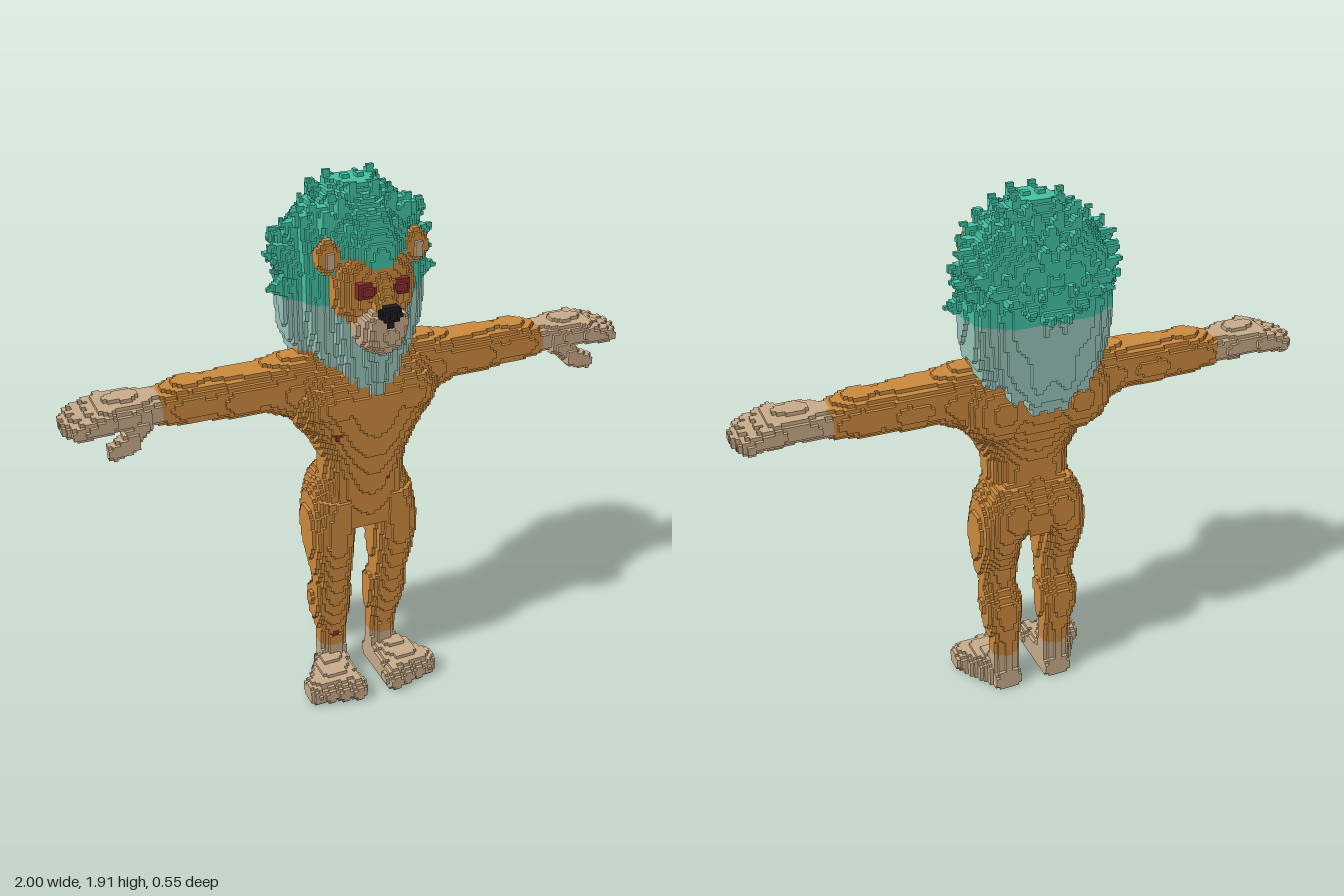
import * as THREE from 'three';

const V = 0.0125; // voxel edge
const COLORS = {
  fur: 0xcc8a3e, paw: 0xc8ab8a, mane: 0x42c2a4, beard: 0x98c4ba, darkRed: 0x8a2c2c, black: 0x1c1c20
};
const PARTS = { // part name -> colour name
  maneTop: 'mane', maneBeard: 'beard', torso: 'fur', legs: 'fur', arms: 'fur', face: 'fur', ears: 'fur',
  feet: 'paw', hands: 'paw', muzzle: 'paw', innerEars: 'paw', eyes: 'darkRed', spots: 'darkRed', nose: 'black'
};

export function createModel() {
  const cells = new Map();
  const key = (i, j, k) => ((i + 200) * 400 + (j + 200)) * 400 + k + 200;

  // Fill every voxel of a box that passes the test, mirrored left to right
  function fill(part, lo, hi, inside, mirror = true) {
    const a = lo.map(v => Math.floor(v / V)), b = hi.map(v => Math.ceil(v / V));
    a[1] = Math.max(0, a[1]);
    for (let i = a[0]; i < b[0]; i++) for (let j = a[1]; j < b[1]; j++) for (let k = a[2]; k < b[2]; k++) {
      const x = (i + 0.5) * V, y = (j + 0.5) * V, z = (k + 0.5) * V;
      if (!inside(x, y, z)) continue;
      const name = typeof part === 'function' ? part(x, y, z) : part;
      cells.set(key(i, j, k), [i, j, k, name]);
      if (mirror) cells.set(key(-1 - i, j, k), [-1 - i, j, k, name]);
    }
  }

  const ellipsoid = (part, c, r, mirror) => fill(part, c.map((v, n) => v - r[n]), c.map((v, n) => v + r[n]),
    (x, y, z) => ((x - c[0]) / r[0]) ** 2 + ((y - c[1]) / r[1]) ** 2 + ((z - c[2]) / r[2]) ** 2 <= 1, mirror);

  // Tapered capsule from p to q
  function taper(part, p, q, rp, rq) {
    const P = new THREE.Vector3(...p), D = new THREE.Vector3(...q).sub(P), W = new THREE.Vector3(), R = Math.max(rp, rq);
    fill(part, p.map((v, n) => Math.min(v, q[n]) - R), p.map((v, n) => Math.max(v, q[n]) + R), (x, y, z) => {
      W.set(x, y, z).sub(P);
      const t = THREE.MathUtils.clamp(W.dot(D) / D.lengthSq(), 0, 1);
      return W.addScaledVector(D, -t).length() <= rp + (rq - rp) * t;
    });
  }

  // Interpolate a row of values at position t
  function sample(rows, t) {
    let n = 0;
    while (n < rows.length - 2 && t > rows[n + 1][0]) n++;
    const a = rows[n], b = rows[n + 1], f = THREE.MathUtils.clamp((t - a[0]) / (b[0] - a[0]), 0, 1);
    return a.map((v, m) => v + (b[m] - v) * f);
  }

  // Rounded cross-sections along an axis; rows: [t, centre1, centre2, radius1, radius2]
  function loft(part, axis, rows, e = 2.2) {
    const [u, v] = [0, 1, 2].filter(n => n !== axis), lo = [-0.5, 0, -0.4], hi = [1, 2, 0.4];
    lo[axis] = rows[0][0];
    hi[axis] = rows[rows.length - 1][0];
    fill(part, lo, hi, (...p) => {
      const s = sample(rows, p[axis]);
      return Math.abs((p[u] - s[1]) / s[3]) ** e + Math.abs((p[v] - s[2]) / s[4]) ** e <= 1;
    });
  }

  // Mane: wedge-shaped front, rounded back, pointed lower edge; rows: [y, side, front, back]
  const maneRows = [[1.17, 0.19, 0.215, 0.14], [1.3, 0.21, 0.235, 0.17], [1.4, 0.24, 0.24, 0.175], [1.52, 0.25, 0.24, 0.18],
    [1.62, 0.245, 0.24, 0.18], [1.72, 0.225, 0.24, 0.17], [1.8, 0.18, 0.19, 0.13], [1.88, 0.07, 0.08, 0.06]];
  const maneColor = (x, y) => y > 1.52 ? 'maneTop' : 'maneBeard';
  fill(maneColor, [0, 1.17, -0.3], [0.35, 1.88, 0.25], (x, y, z) => {
    const [, side, front, back] = sample(maneRows, y), d = z + 0.05;
    if (y < 1.18 + 0.75 * Math.abs(x) + 0.02 * Math.sin(x * 90)) return false;
    const e = d > 0 ? 1.3 : 2.7, lock = 1 + 0.04 * Math.sin(Math.atan2(d, x) * 13 + y * 9);
    return (x / side) ** e + Math.abs(d / (d > 0 ? front : back)) ** e <= lock;
  });

  // Mane tufts, spread evenly over the crown and back
  for (let n = 0; n < 150; n++) {
    const h = 1 - 1.15 * (n + 0.5) / 150, a = n * 2.39996, w = Math.sqrt(1 - h * h);
    const x = Math.cos(a) * w, z = Math.sin(a) * w;
    if (x < 0 || (z > 0.12 && h < 0.62)) continue;
    const at = s => [x * 0.3 * s, 1.59 + h * 0.32 * s, -0.05 + z * (z > 0 ? 0.23 : 0.215) * s];
    const reach = 0.96 + 0.07 * Math.sin(n * 5.3);
    taper('maneTop', at(0.74), at(reach), 0.048, 0.008);
  }

  // Torso
  loft('torso', 1, [[0.7, 0, -0.01, 0.17, 0.11], [0.8, 0, -0.01, 0.185, 0.125], [0.88, 0, 0.015, 0.145, 0.11],
    [0.96, 0, 0.025, 0.15, 0.115], [1.05, 0, 0.02, 0.195, 0.135], [1.12, 0, 0.01, 0.255, 0.15],
    [1.2, 0, 0.005, 0.29, 0.16], [1.28, 0, -0.015, 0.27, 0.145], [1.35, 0, -0.02, 0.21, 0.07]]);
  ellipsoid('torso', [0.085, 0.77, -0.065], [0.09, 0.12, 0.075]);
  ellipsoid('torso', [0.12, 1.19, 0.07], [0.13, 0.09, 0.095]);
  ellipsoid('torso', [0.14, 1.2, -0.08], [0.13, 0.13, 0.08]);

  // Legs and feet
  loft((x, y) => y < 0.15 ? 'feet' : 'legs', 1, [[0.04, 0.1, -0.02, 0.055, 0.05], [0.2, 0.1, -0.025, 0.05, 0.045],
    [0.3, 0.108, -0.02, 0.07, 0.065], [0.37, 0.11, -0.015, 0.075, 0.075], [0.44, 0.11, 0.01, 0.06, 0.066],
    [0.52, 0.115, 0.015, 0.074, 0.076], [0.62, 0.12, 0.005, 0.083, 0.11], [0.7, 0.117, -0.005, 0.086, 0.12],
    [0.8, 0.1, -0.01, 0.085, 0.12]]);
  loft('feet', 2, [[-0.07, 0.1, 0.03, 0.045, 0.05], [-0.02, 0.105, 0.03, 0.06, 0.09], [0.05, 0.13, 0.03, 0.085, 0.08],
    [0.15, 0.148, 0.03, 0.1, 0.06]], 2.5);
  [0.075, 0.125, 0.175, 0.22].forEach((x, n) =>
    ellipsoid('feet', [x, 0.04, 0.15 - 0.012 * n], [0.034, 0.045, 0.055]));

  // Arms
  loft('arms', 0, [[0.18, 1.22, -0.01, 0.12, 0.1], [0.26, 1.23, -0.015, 0.105, 0.1], [0.34, 1.24, -0.015, 0.078, 0.09],
    [0.45, 1.238, -0.018, 0.075, 0.095], [0.53, 1.238, -0.02, 0.07, 0.08], [0.6, 1.243, -0.02, 0.074, 0.085],
    [0.7, 1.235, -0.02, 0.05, 0.07]]);

  // Hands, fingers and thumbs
  loft('hands', 0, [[0.7, 1.238, -0.02, 0.048, 0.07], [0.78, 1.248, -0.015, 0.05, 0.09], [0.88, 1.248, -0.015, 0.045, 0.09]]);
  [-0.08, -0.037, 0.008, 0.052].forEach((z, n) =>
    taper('hands', [0.86, 1.25, z], [[0.955, 0.972, 0.972, 0.95][n], 1.228, z], 0.036, 0.028));
  taper('hands', [0.75, 1.22, 0.035], [0.8, 1.18, 0.06], 0.035, 0.03);
  taper('hands', [0.8, 1.17, 0.06], [0.855, 1.15, 0.065], 0.032, 0.026);

  // Face
  ellipsoid('face', [0, 1.58, 0.1], [0.14, 0.15, 0.1]);
  taper('face', [0, 1.62, 0.175], [0, 1.54, 0.215], 0.035, 0.035);
  ellipsoid('muzzle', [0, 1.465, 0.16], [0.085, 0.085, 0.1]);
  ellipsoid('muzzle', [0.035, 1.5, 0.2], [0.04, 0.035, 0.055]);
  ellipsoid('nose', [0, 1.535, 0.248], [0.034, 0.028, 0.025]);
  fill('nose', [0, 1.462, 0.2], [0.0125, 1.53, 0.275], (x, y, z) => z > 0.2 && z < 0.225 + (y - 1.46) * 0.6);
  ellipsoid('eyes', [0.06, 1.6, 0.185], [0.034, 0.028, 0.026]);
  ellipsoid('ears', [0.15, 1.695, 0.1], [0.043, 0.055, 0.03]);
  ellipsoid('innerEars', [0.15, 1.69, 0.125], [0.02, 0.03, 0.012]);

  // Small stray marks on the skin: repaint voxels that already exist
  for (const [x, y, z, r] of [[-0.16, 1.01, -0.08, 0.025], [-0.13, 1.08, 0.12, 0.016], [0.06, 0.88, 0.12, 0.014], [-0.1, 0.2, 0.02, 0.013]])
    for (const c of cells.values())
      if (Math.hypot((c[0] + 0.5) * V - x, (c[1] + 0.5) * V - y, (c[2] + 0.5) * V - z) < r) c[3] = 'spots';

  // Exposed voxel faces become one mesh per part
  const data = {};
  for (const [i, j, k, name] of cells.values()) {
    const d = data[name] ??= { pos: [], nor: [], idx: [] };
    for (let axis = 0; axis < 3; axis++) for (const s of [-1, 1]) {
      const n = [0, 0, 0];
      n[axis] = s;
      if (cells.has(key(i + n[0], j + n[1], k + n[2]))) continue;
      const base = d.pos.length / 3, u = (axis + 1) % 3, v = (axis + 2) % 3;
      for (const [p, q] of [[0, 0], [1, 0], [1, 1], [0, 1]]) {
        const c = [i, j, k];
        c[axis] += s > 0 ? 1 : 0;
        c[u] += p;
        c[v] += q;
        d.pos.push(c[0] * V, c[1] * V, c[2] * V);
        d.nor.push(...n);
      }
      d.idx.push(...(s > 0 ? [0, 1, 2, 0, 2, 3] : [0, 2, 1, 0, 3, 2]).map(m => base + m));
    }
  }

  const materials = {};
  for (const [name, color] of Object.entries(COLORS)) {
    materials[name] = new THREE.MeshStandardMaterial({ color });
    materials[name].name = name;
  }
  const group = new THREE.Group();
  group.name = 'voxelLion';
  for (const [name, d] of Object.entries(data)) {
    const g = new THREE.BufferGeometry();
    g.setAttribute('position', new THREE.Float32BufferAttribute(d.pos, 3));
    g.setAttribute('normal', new THREE.Float32BufferAttribute(d.nor, 3));
    g.setIndex(d.idx);
    const mesh = new THREE.Mesh(g, materials[PARTS[name]]);
    mesh.name = name;
    group.add(mesh);
  }
  return group;
}
